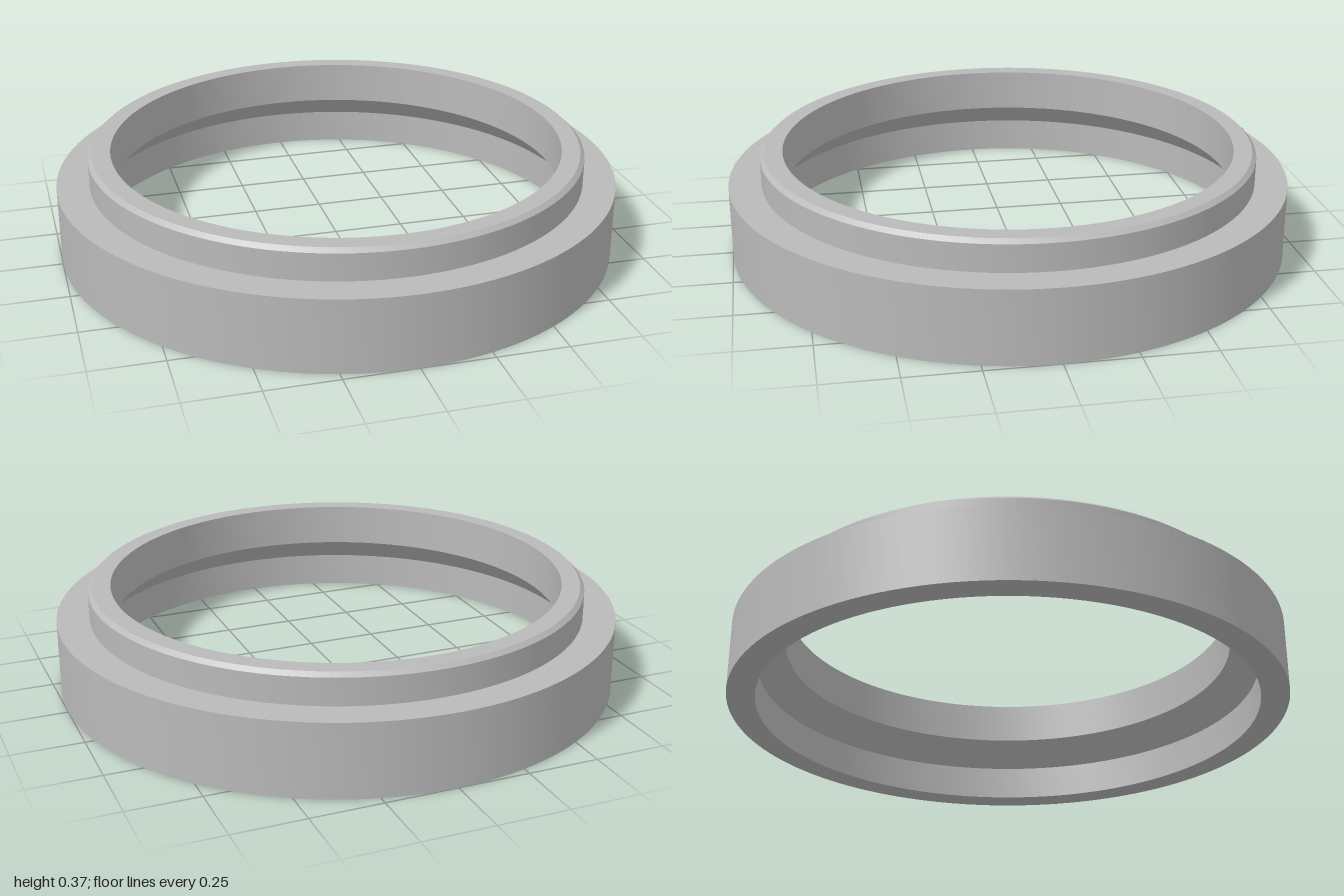
import * as THREE from 'three';
import { toCreasedNormals } from 'three/addons/utils/BufferGeometryUtils.js';

export function createModel() {
  const model = new THREE.Group();
  model.name = 'steppedRing';

  const grey = new THREE.MeshStandardMaterial({ color: 0xbababa });
  grey.name = 'grey';

  // Closed cross-section [radius, height]: up the outside, down the bore
  const profile = [
    [0.9, 0], [1, 0], [1, 0.26],                    // base flange
    [0.885, 0.26], [0.885, 0.356], [0.87, 0.37],    // raised collar with chamfer
    [0.805, 0.37], [0.805, 0.217],                  // upper bore
    [0.9, 0.127], [0.9, 0],                         // conical step and wider lower bore
  ].map(([r, y]) => new THREE.Vector2(r, y));

  // Smooth round the ring, sharp at the profile corners
  const geometry = toCreasedNormals(new THREE.LatheGeometry(profile, 128), Math.PI / 6);
  const ring = new THREE.Mesh(geometry, grey);
  ring.name = 'ringBody';
  model.add(ring);

  return model;
}
